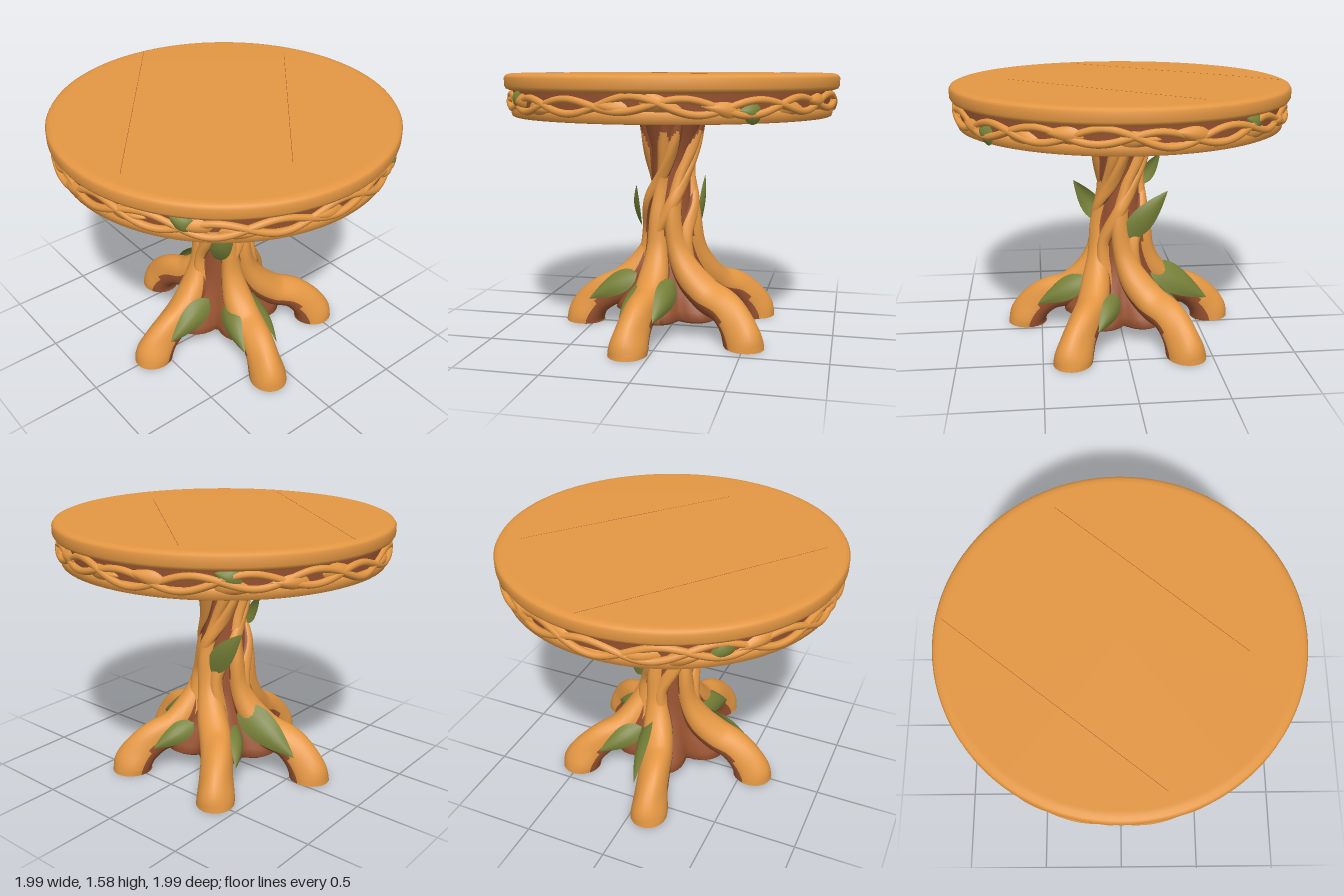
import * as THREE from 'three';

const V = (x, y, z) => new THREE.Vector3(x, y, z);
const rad = THREE.MathUtils.degToRad;
const polar = (a, r, y) => V(r * Math.cos(a), y, r * Math.sin(a));

export function createModel() {
  const model = new THREE.Group();
  const mat = (name, color) => {
    const m = new THREE.MeshStandardMaterial({ color, side: THREE.DoubleSide });
    m.name = name;
    return m;
  };
  const wood = mat('golden wood', 0xe49743);
  const bark = mat('dark bark', 0x985230);
  const green = mat('leaf green', 0x768038);

  const add = (name, geo, material) => {
    const mesh = new THREE.Mesh(geo, material);
    mesh.name = name;
    model.add(mesh);
    return mesh;
  };
  const lathe = (name, pts, material, seg = 96) =>
    add(name, new THREE.LatheGeometry(pts.map(p => new THREE.Vector2(...p)), seg), material);

  // Loft along [angle offset, radius from axis, y, thickness]; wood outside, bark on the inner side
  function strand(name, a0, rows, swirl = 1) {
    const path = new THREE.CatmullRomCurve3(rows.map(([a, r, y]) => polar(a0 + rad(a * swirl), r, y)));
    const size = new THREE.CatmullRomCurve3(rows.map((p, i) => V(p[3], i, 0)));
    const N = 64, M = 24, pos = [], woodIdx = [], barkIdx = [];
    for (let i = 0; i <= N; i++) {
      const t = i / N, p = path.getPoint(t), w = size.getPoint(t).x;
      const T = i === 0 ? V(0, 1, 0) : path.getTangent(t);
      const a = Math.atan2(p.z, p.x);
      const out = T.clone().cross(V(-Math.sin(a), 0, Math.cos(a))).normalize();
      const side = out.clone().cross(T);
      for (let j = 0; j < M; j++) {
        const th = j / M * Math.PI * 2;
        const k = w * (1 + 0.06 * Math.sin(3 * th + t * 9) * Math.min(1, t * 6));
        const q = p.clone().addScaledVector(out, k * Math.cos(th)).addScaledVector(side, 0.92 * k * Math.sin(th));
        pos.push(q.x, Math.max(0, q.y), q.z);
      }
      if (i === N) break;
      // bark shows more toward the top, so the wood ends in pointed strokes
      const limit = THREE.MathUtils.clamp(p.y * 0.6 - 0.22, -0.15, 0.2) + Math.max(0, p.y - 1.1) * 6;
      for (let j = 0; j < M; j++) {
        const A = i * M + j, B = i * M + (j + 1) % M;
        const face = Math.cos((j + 0.5) / M * Math.PI * 2);
        (face > limit ? woodIdx : barkIdx).push(A, A + M, B, B, A + M, B + M);
      }
    }
    const geo = new THREE.BufferGeometry();
    geo.setAttribute('position', new THREE.Float32BufferAttribute(pos, 3));
    geo.setIndex([...woodIdx, ...barkIdx]);
    geo.addGroup(0, woodIdx.length, 0);
    geo.addGroup(woodIdx.length, barkIdx.length, 1);
    geo.computeVertexNormals();
    add(name, geo, [wood, bark]);
  }

  // Curved, pointed leaf from base to tip, bulging along the normal
  function leaf(name, base, tip, normal, half, bulge, material = green) {
    const dir = tip.clone().sub(base).normalize();
    const side = dir.clone().cross(normal).normalize();
    const n = side.clone().cross(dir);
    const geo = new THREE.PlaneGeometry(2, 1, 6, 14), P = geo.attributes.position;
    for (let i = 0; i < P.count; i++) {
      const s = P.getX(i), t = P.getY(i) + 0.5;
      const w = half * Math.pow(Math.max(0, Math.sin(Math.PI * Math.pow(t, 0.75))), 0.85) * (1.1 - 0.3 * t);
      const q = base.clone().lerp(tip, t).addScaledVector(side, s * w)
        .addScaledVector(n, bulge * Math.sin(Math.PI * t) * (1 - s * s));
      P.setXYZ(i, q.x, q.y, q.z);
    }
    geo.computeVertexNormals();
    add(name, geo, material);
  }

  // Table top with rounded edge and two plank seams
  lathe('tableTop', [[0, 1.48], [0.965, 1.48], [0.985, 1.488], [0.995, 1.505], [0.995, 1.55],
    [0.985, 1.565], [0.965, 1.573], [0.94, 1.575], [0, 1.575]], wood);
  for (const [x1, z1, x2, z2] of [[-0.84, 0.23, 0.1, -0.95], [-0.1, 0.68, 0.78, -0.36]]) {
    const seam = add('plankSeam', new THREE.BoxGeometry(Math.hypot(x2 - x1, z2 - z1), 0.001, 0.002), bark);
    seam.position.set((x1 + x2) / 2, 1.575, (z1 + z2) / 2);
    seam.rotation.y = -Math.atan2(z2 - z1, x2 - x1);
  }

  // Apron: bark band, wooden lower rim, flat underside
  lathe('apronBand', [[0.94, 1.34], [0.95, 1.48]], bark);
  lathe('apronRim', [[0.938, 1.326], [0.952, 1.332], [0.962, 1.372], [0.945, 1.39]], wood);
  lathe('underside', [[0, 1.326], [0.938, 1.326]], bark);

  // Vines winding around the apron
  for (const [phase, waves, amp] of [[0, 9, 0.04], [2.6, 9, 0.036]]) {
    const pts = [];
    for (let i = 0; i < 120; i++) {
      const a = i / 120 * Math.PI * 2;
      pts.push(polar(a, 0.955 + 0.008 * Math.cos(waves * a + phase * 2),
        1.415 + amp * Math.sin(waves * a + phase) + 0.01 * Math.sin(5 * a)));
    }
    add('apronVine', new THREE.TubeGeometry(new THREE.CatmullRomCurve3(pts, true), 240, 0.02, 8, true), wood);
  }
  // Carved and green leaves on the apron
  const apronLeaf = (name, deg, y, span, dy, half, material) => {
    const a = rad(deg), d = rad(span / 2);
    leaf(name, polar(a - d, 0.956, y - dy), polar(a + d, 0.956, y + dy), polar(a, 1, 0), half, 0.026, material);
  };
  for (let i = 0; i < 18; i++)
    apronLeaf('carvedLeaf', i * 20 + 4 * Math.sin(i * 2.3), 1.41 + 0.02 * Math.sin(i * 1.9),
      i % 2 ? 13 : -13, 0.02 * Math.sin(i * 2.7), 0.045, wood);
  for (const [deg, y, dy] of [[141, 1.435, 0.035], [53, 1.38, 0.015], [-41, 1.44, 0.03], [232, 1.42, -0.03]])
    apronLeaf('greenApronLeaf', deg, y, 8, dy, 0.055, green);

  // Roots: [angle, reach of the foot, swirl]
  const roots = [[33, 0.6, 1], [102, 0.605, 0.3], [180, 0.57, 0.8], [260, 0.605, 0.7], [325, 0.6, 1]];

  // Bark core of the trunk, spreading at its base into a web toward each root
  const core = lathe('trunkCore', [[0, 0.085], [0.24, 0.09], [0.27, 0.11], [0.265, 0.16], [0.23, 0.26],
    [0.18, 0.37], [0.155, 0.52], [0.142, 0.75], [0.113, 0.98], [0.138, 1.13], [0.18, 1.25], [0.205, 1.33]], bark, 60).geometry;
  const C = core.attributes.position;
  for (let i = 0; i < C.count; i++) {
    const x = C.getX(i), y = C.getY(i), z = C.getZ(i), a = Math.atan2(z, x);
    const near = Math.max(...roots.map(([deg]) => Math.cos(a - rad(deg))));
    const k = 1 + Math.max(0, 1 - y / 0.4) * (0.7 * Math.max(0, near - 0.8) / 0.2 - 0.25);
    C.setXYZ(i, x * k, y, z * k);
  }
  core.computeVertexNormals();

  // Five roots rising into twisted strands, with a thinner strand crossing each
  const rise = [[3, 0.32, 0.25, 0.106], [14, 0.21, 0.36, 0.098], [32, 0.15, 0.52, 0.07], [42, 0.136, 0.72, 0.054],
    [20, 0.1, 0.95, 0.044], [-15, 0.122, 1.14, 0.05], [-35, 0.155, 1.33, 0.052]];
  const cross = [[0, 0.2, 0.25, 0.07], [8, 0.165, 0.42, 0.056], [12, 0.15, 0.6, 0.046], [-25, 0.138, 0.8, 0.042],
    [-75, 0.111, 0.98, 0.04], [-105, 0.138, 1.15, 0.042], [-118, 0.17, 1.33, 0.04]];
  for (const [deg, reach, swirl] of roots) {
    const a = rad(deg);
    strand('root', a, [[0, reach, 0, 0.122], [0, reach - 0.01, 0.045, 0.12], [0, reach - 0.06, 0.125, 0.108],
      [0, reach - 0.15, 0.2, 0.104], ...rise], swirl);
    strand('crossingStrand', a, cross);
    const sole = add('footSole', new THREE.CircleGeometry(0.112, 16), bark);
    sole.rotation.x = Math.PI / 2;
    sole.position.copy(polar(a, reach, 0.001));
  }

  // Leaves lying on the flanks of the roots: [root angle, side, scale]
  for (const [deg, s, k] of [[33, -1, 0.85], [102, -1, 1], [102, 1, 0.95], [180, -1, 1], [260, 1, 1.25], [325, -1, 0.9]]) {
    const at = (r, y, l) => V(r, y, l * s).applyAxisAngle(V(0, 1, 0), -rad(deg));
    leaf('rootLeaf', at(0.36 - 0.16 * k, 0.05 + 0.3 * k, 0.1), at(0.36 + 0.15 * k, 0.17, 0.11),
      at(0.15, 0.5, 0.8), 0.078 * k, 0.032);
  }

  // Leaves sprouting from the trunk
  leaf('trunkLeaf', V(-0.165, 0.66, 0.1), V(-0.15, 0.93, 0.28), V(-1, 0, 0.35), 0.066, 0.03);
  leaf('trunkLeaf', V(0.165, 0.64, -0.02), V(0.16, 0.93, -0.27), V(1, 0, 0), 0.074, 0.02);
  leaf('trunkLeaf', V(-0.06, 0.92, -0.13), V(-0.03, 1.12, -0.25), V(-1, 0, -0.4), 0.045, 0.02);

  return model;
}
